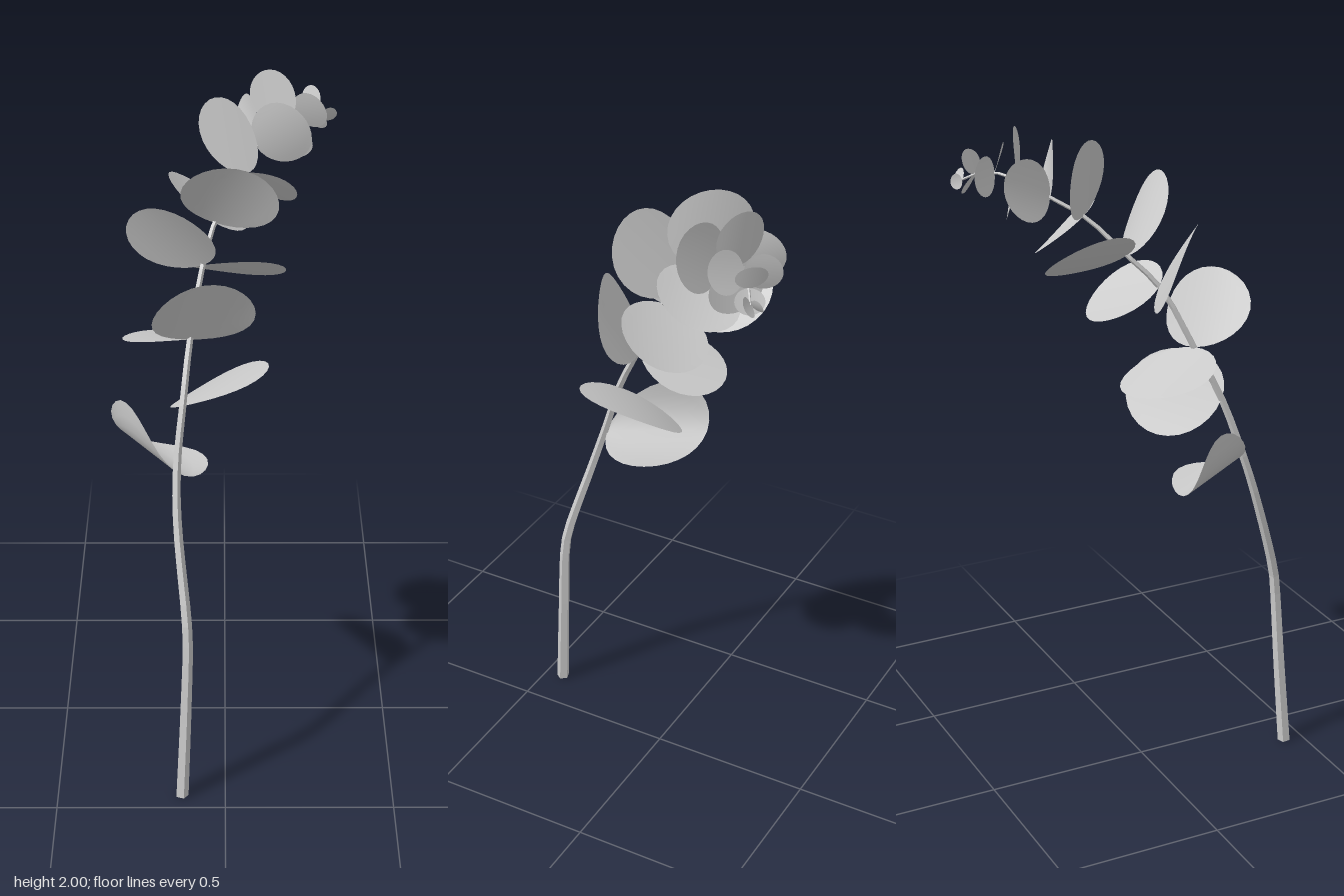
import * as THREE from 'three';

const V = (a) => new THREE.Vector3(...a);
const leafMat = new THREE.MeshStandardMaterial({ color: 0xcccccc, side: THREE.DoubleSide });
const stemMat = new THREE.MeshStandardMaterial({ color: 0xcccccc, flatShading: true });

// Round leaf from base to tip; side is the half-width vector, cup rolls both edges up
function makeLeaf(base, tip, side, cup) {
  const b = V(base), rib = V(tip).sub(b), s = V(side);
  const normal = rib.clone().cross(s).normalize();
  const geo = new THREE.PlaneGeometry(2, 1, 8, 14);
  const pos = geo.attributes.position;
  for (let i = 0; i < pos.count; i++) {
    const u = pos.getX(i);
    const a = (pos.getY(i) + 0.5) * Math.PI;
    const t = (1 - Math.cos(a)) / 2;
    const w = u * Math.sin(a);
    const p = b.clone().addScaledVector(rib, t).addScaledVector(s, w);
    p.addScaledVector(normal, -cup * w * w);
    pos.setXYZ(i, p.x, p.y, p.z);
  }
  geo.computeVertexNormals();
  const mesh = new THREE.Mesh(geo, leafMat);
  mesh.name = 'leaf';
  return mesh;
}

// Leaves sharing one node on the stem: each is [tip, side, cup]
function leafNode(base, ...leaves) {
  const g = new THREE.Group();
  g.name = 'leafPair';
  for (const [tip, side, cup = 0.01] of leaves) g.add(makeLeaf(base, tip, side, cup));
  return g;
}

// Faceted, bending stem that thins towards the top
function makeStem() {
  const path = new THREE.CatmullRomCurve3([
    [-0.13, 0, 0.44], [-0.117, 0.3, 0.42], [-0.11, 0.53, 0.405], [-0.113, 0.6, 0.395],
    [-0.138, 0.88, 0.31], [-0.138, 1.03, 0.26], [-0.12, 1.2, 0.2], [-0.1, 1.36, 0.12],
    [-0.065, 1.54, 0.03], [-0.03, 1.64, -0.06], [0.04, 1.75, -0.16], [0.09, 1.8, -0.24],
    [0.15, 1.845, -0.31], [0.2, 1.86, -0.36], [0.25, 1.85, -0.4], [0.29, 1.825, -0.425],
  ].map(V), false, 'centripetal');
  const steps = 36, sides = 5;
  const geo = new THREE.TubeGeometry(path, steps, 1, sides);
  const pos = geo.attributes.position;
  for (let i = 0; i < pos.count; i++) {
    const t = Math.floor(i / (sides + 1)) / steps;
    const c = path.getPointAt(t);
    const p = new THREE.Vector3().fromBufferAttribute(pos, i).sub(c);
    p.multiplyScalar(0.02 - 0.0165 * t).add(c);
    pos.setXYZ(i, p.x, Math.max(p.y, 0), p.z);
  }
  const stem = new THREE.Mesh(geo, stemMat);
  stem.name = 'stem';
  const cut = new THREE.Mesh(new THREE.CircleGeometry(0.019, sides), stemMat);
  cut.name = 'stemCutEnd';
  cut.rotation.x = Math.PI / 2;
  cut.position.set(-0.13, 0.001, 0.44);
  const g = new THREE.Group();
  g.name = 'stemGroup';
  g.add(stem, cut);
  return g;
}

export function createModel() {
  const model = new THREE.Group();
  model.name = 'leafyBranch';
  model.add(makeStem());

  // Lowest leaf, rolled into a trough
  model.add(leafNode([-0.14, 1.01, 0.26], [[-0.3, 1.0, 0.0], [0.11, -0.09, -0.01], 0.08]));
  // Large lower leaves
  model.add(leafNode([-0.12, 1.19, 0.2], [[0.08, 1.23, 0], [0.1, 0.08, 0.11], -0.015]));
  model.add(leafNode([-0.1, 1.36, 0.12],
    [[-0.21, 1.28, -0.11], [-0.13, 0.02, 0.06]],
    [[-0.03, 1.57, 0.21], [0.14, -0.03, -0.06], 0.025]));
  model.add(leafNode([-0.06, 1.55, 0.03],
    [[-0.24, 1.71, 0.02], [0.09, 0.08, 0.1], 0.015],
    [[0.14, 1.46, -0.1], [0.09, 0.05, 0.09]]));
  // Middle leaves
  model.add(leafNode([-0.03, 1.64, -0.06],
    [[0.06, 1.85, 0.08], [0.13, -0.04, 0.01], 0.015],
    [[-0.08, 1.66, -0.31], [0.11, -0.08, -0.03]]));
  model.add(leafNode([0.04, 1.75, -0.16],
    [[0.19, 1.65, -0.2], [0.05, 0.05, 0.1]],
    [[-0.01, 1.97, -0.18], [0.08, 0.02, 0.09]]));
  // Smaller leaves towards the end
  model.add(leafNode([0.09, 1.8, -0.24],
    [[0.23, 1.9, -0.18], [-0.05, 0.08, 0]],
    [[0.04, 1.87, -0.4], [0.025, 0.08, 0.02]]));
  model.add(leafNode([0.15, 1.845, -0.31],
    [[0.13, 2.0, -0.33], [0.065, 0.01, 0.035], 0.005],
    [[0.19, 1.73, -0.33], [0.08, 0.01, 0.04], 0.005]));
  model.add(leafNode([0.2, 1.86, -0.36],
    [[0.29, 1.89, -0.3], [-0.02, 0.055, 0.01], 0.004],
    [[0.14, 1.86, -0.445], [0.01, 0.055, 0], 0.004]));
  // Tip leaves
  model.add(leafNode([0.25, 1.85, -0.4],
    [[0.26, 1.92, -0.42], [0.025, 0, 0.035], 0.003],
    [[0.28, 1.79, -0.42], [0.03, 0.005, 0.03], 0.003]));
  model.add(leafNode([0.285, 1.825, -0.425],
    [[0.33, 1.83, -0.43], [0, 0.025, 0.015], 0.003],
    [[0.285, 1.82, -0.46], [0.01, 0.02, 0], 0.003]));
  return model;
}
